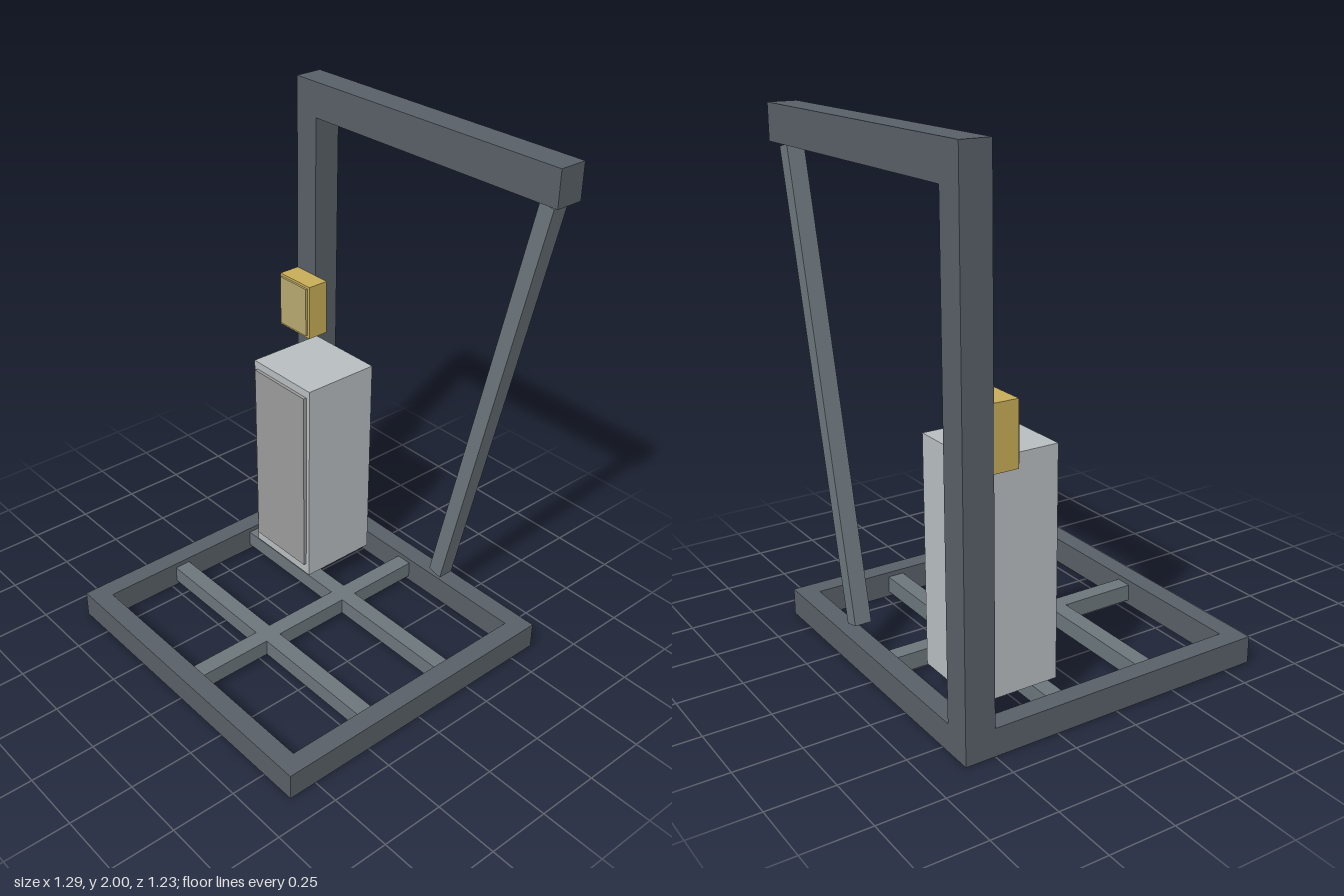
import * as THREE from 'three';

const paint = (color) => new THREE.MeshStandardMaterial({ color });

export function createModel() {
  const model = new THREE.Group();
  const frame = paint(0x596068);
  const brace = paint(0x6c767c);
  const steel = paint(0xb9bec1);
  const door = paint(0x9c9c9c);
  const yellow = paint(0xc9ae58);
  const panel = paint(0xb8a970);

  // Box given by its [min, max] range on each axis
  function block(name, material, [x0, x1], [y0, y1], [z0, z1], parent = model) {
    const mesh = new THREE.Mesh(new THREE.BoxGeometry(x1 - x0, y1 - y0, z1 - z0), material);
    mesh.position.set((x0 + x1) / 2, (y0 + y1) / 2, (z0 + z1) / 2);
    mesh.name = name;
    parent.add(mesh);
    return mesh;
  }

  const W = 0.645, D = 0.613, H = 0.105, R = 0.076; // half width, half depth, base height, rail width

  // Base: outer frame as one extruded ring
  const base = new THREE.Group();
  base.name = 'base';
  model.add(base);
  const rect = (path, w, d) => path.moveTo(-w, -d).lineTo(w, -d).lineTo(w, d).lineTo(-w, d).closePath();
  const outline = rect(new THREE.Shape(), W, D);
  outline.holes.push(rect(new THREE.Path(), W - R, D - R));
  const ring = new THREE.Mesh(new THREE.ExtrudeGeometry(outline, { depth: H, bevelEnabled: false }), frame);
  ring.rotation.x = -Math.PI / 2;
  ring.name = 'baseFrame';
  base.add(ring);

  // Base: inner grid of bars, the cross bars split by the middle bar
  const b = 0.033, barY = [H / 2 - b, H / 2 + b];
  block('middleBar', brace, [-b, b], barY, [R - D, D - R], base);
  for (const z of [-0.196, 0.193]) {
    block('crossBarRight', brace, [R - W, -b], barY, [z - b, z + b], base);
    block('crossBarLeft', brace, [b, W - R], barY, [z - b, z + b], base);
  }

  // Upright column and top beam at the back
  const backZ = [-D, -0.5];
  block('column', frame, [-W, -0.535], [H, 1.863], backZ);
  block('topBeam', frame, [-W, W], [1.863, 2], backZ);

  // Leaning strut below the free end of the beam
  const low = new THREE.Vector3(0.193, 0.138, -0.555);
  const high = new THREE.Vector3(0.583, 1.854, -0.555);
  const strut = new THREE.Mesh(new THREE.BoxGeometry(0.062, low.distanceTo(high), 0.066), brace);
  strut.position.copy(low).add(high).multiplyScalar(0.5);
  strut.rotation.z = -Math.atan2(high.x - low.x, high.y - low.y);
  strut.name = 'strut';
  model.add(strut);

  // Tall cabinet with its door
  block('cabinet', steel, [-0.49, -0.157], [H, 0.97], [-0.47, -0.149]);
  block('cabinetDoor', door, [-0.472, -0.175], [0.153, 0.938], [-0.149, -0.136]);

  // Control box on the column
  block('controlBox', yellow, [-W, -0.465], [0.985, 1.213], [-0.5, -0.41]);
  block('controlPanel', panel, [-0.635, -0.477], [0.997, 1.203], [-0.41, -0.401]);

  return model;
}
